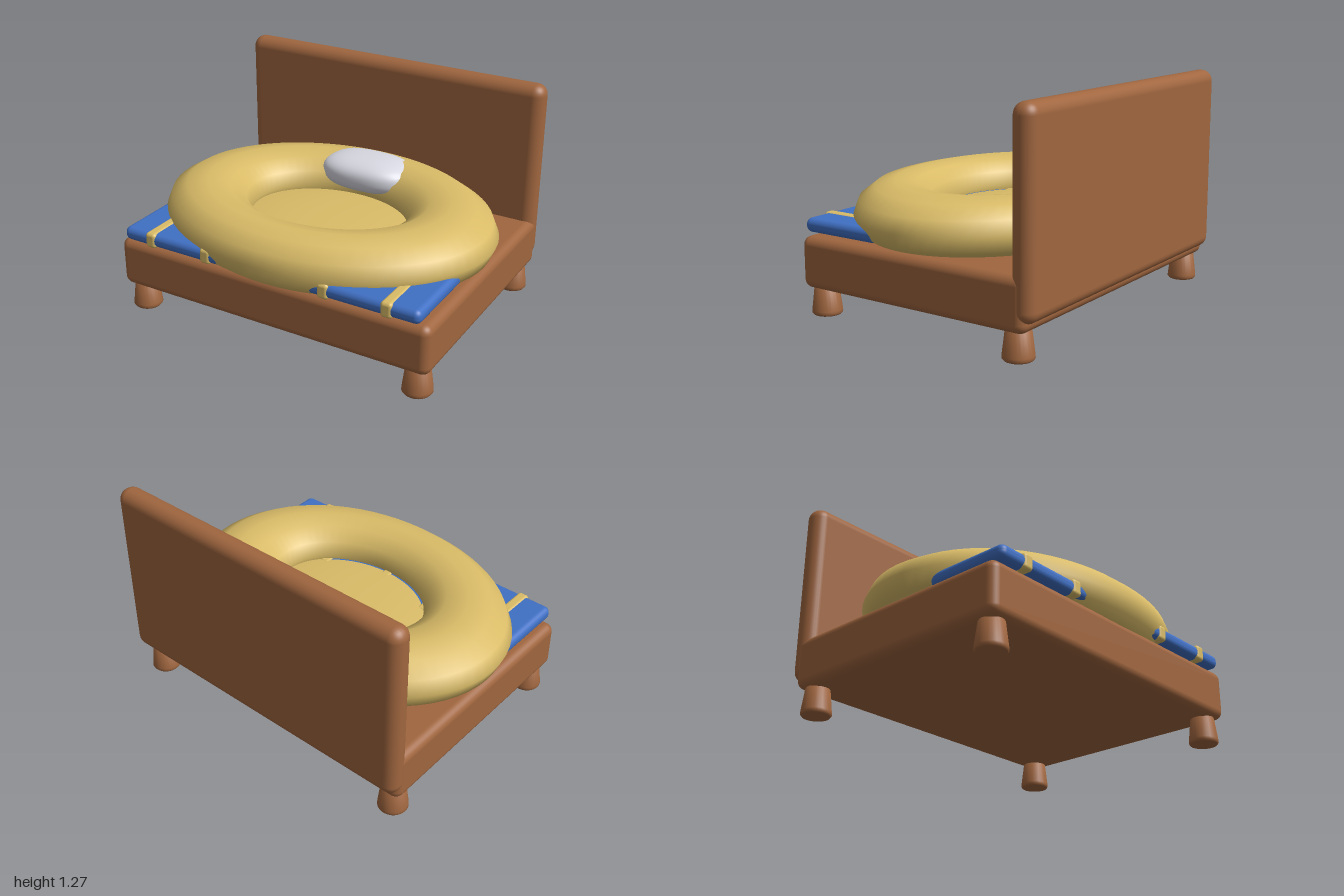
import * as THREE from 'three';
import { RoundedBoxGeometry } from 'three/addons/geometries/RoundedBoxGeometry.js';
import { mergeVertices } from 'three/addons/utils/BufferGeometryUtils.js';

function material(name, color) {
  const m = new THREE.MeshStandardMaterial({ color });
  m.name = name;
  return m;
}

// Squarish ellipsoid, like a stuffed pillow
function pillowGeometry(rx, ry, rz, power) {
  const g = new THREE.SphereGeometry(1, 40, 24);
  const p = g.attributes.position;
  const v = new THREE.Vector3();
  for (let i = 0; i < p.count; i++) {
    v.fromBufferAttribute(p, i);
    const k = Math.pow(
      Math.abs(v.x) ** power + Math.abs(v.y) ** power + Math.abs(v.z) ** power, -1 / power);
    p.setXYZ(i, v.x * k * rx, v.y * k * ry, v.z * k * rz);
  }
  g.deleteAttribute('uv');
  g.deleteAttribute('normal');
  const merged = mergeVertices(g, 1e-5);
  merged.computeVertexNormals();
  return merged;
}

export function createModel() {
  const model = new THREE.Group();
  model.name = 'petBed';

  const wood = material('wood brown', 0xa0663f);
  const cushion = material('cushion yellow', 0xdabc68);
  const blue = material('blanket blue', 0x4070c4);
  const white = material('pillow white', 0xd8d8e2);

  function add(name, geometry, mat, x, y, z) {
    const mesh = new THREE.Mesh(geometry, mat);
    mesh.name = name;
    mesh.position.set(x, y, z);
    model.add(mesh);
    return mesh;
  }

  // Wooden frame
  add('base', new RoundedBoxGeometry(1.95, 0.29, 1.46, 4, 0.05), wood, 0, 0.295, -0.015);
  add('headboard', new RoundedBoxGeometry(1.95, 1.07, 0.135, 4, 0.065), wood, 0, 0.735, -0.7225);

  // Tapered legs, wider at the foot
  const legProfile = [[0, 0], [0.076, 0], [0.084, 0.01], [0.083, 0.025], [0.065, 0.17], [0, 0.17]]
    .map(([r, y]) => new THREE.Vector2(r, y));
  const legGeometry = new THREE.LatheGeometry(legProfile, 24);
  for (const x of [-0.88, 0.88]) {
    for (const z of [0.62, -0.655]) add('leg', legGeometry, wood, x, 0, z);
  }

  // Oval ring cushion
  const ring = new THREE.TorusGeometry(0.7325, 0.2675, 12, 64);
  ring.scale(1, 0.755, 0.17 / 0.2675);
  ring.rotateX(Math.PI / 2);
  add('ringCushion', ring, cushion, 0, 0.55, 0.03);

  // Gently domed seat in the middle of the ring
  const seat = new THREE.SphereGeometry(1, 48, 24);
  seat.scale(0.7, 0.1, 0.53);
  add('innerCushion', seat, cushion, 0, 0.455, 0.03);

  // Pillow on the back of the ring
  add('pillow', pillowGeometry(0.285, 0.1, 0.18, 2.6), white, 0, 0.64, -0.44);

  // Folded blanket tucked under the front, with wrapped stripes
  add('blanket', new RoundedBoxGeometry(1.855, 0.08, 0.505, 4, 0.035), blue, 0, 0.49, 0.475);
  for (const x of [-0.74, -0.37, 0, 0.37, 0.74]) {
    add('blanketStripe', new RoundedBoxGeometry(0.068, 0.09, 0.515, 4, 0.02), cushion, x, 0.49, 0.475);
  }

  return model;
}
